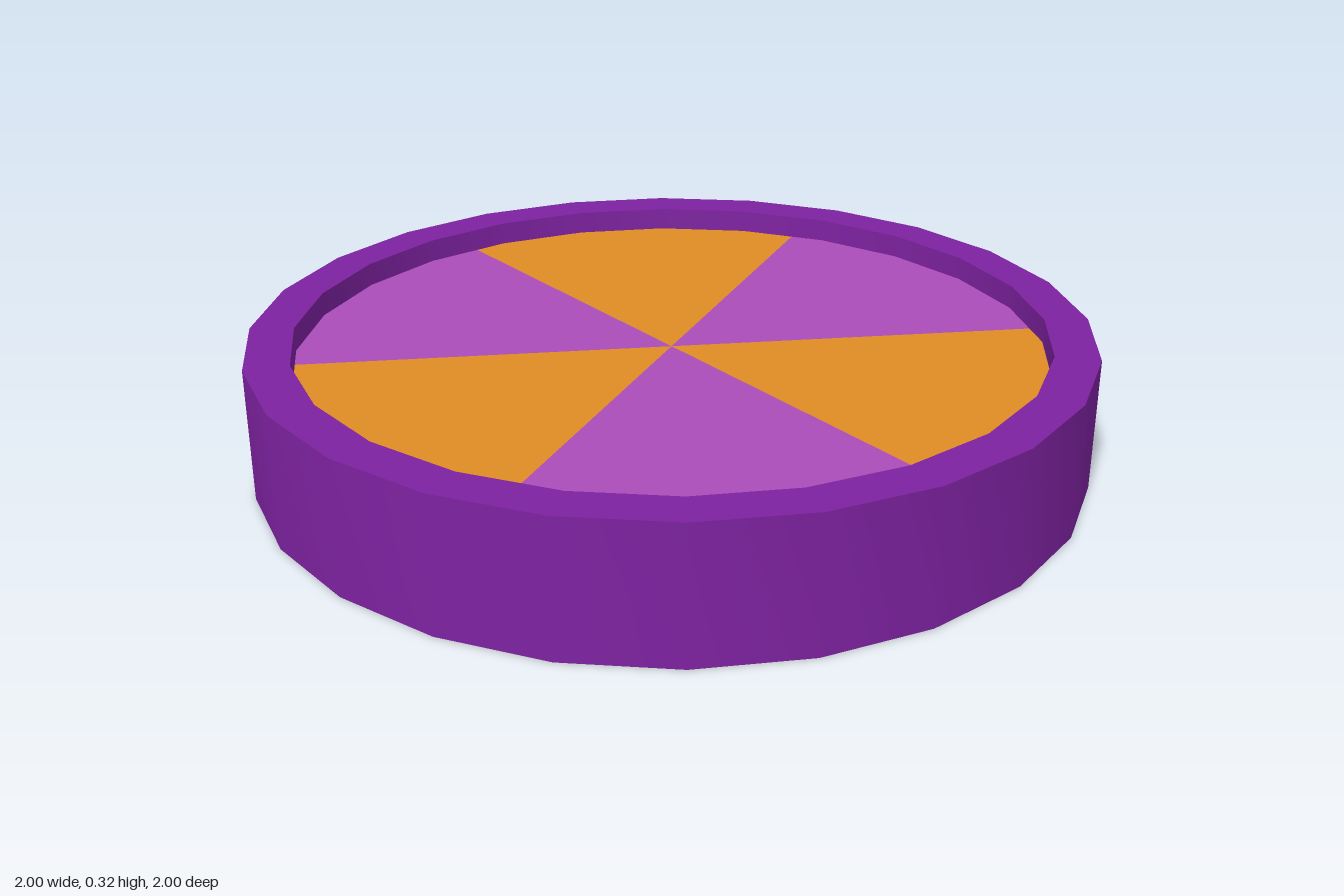
import * as THREE from 'three';
import { toCreasedNormals } from 'three/addons/utils/BufferGeometryUtils.js';

const SIDES = 24, OUTER = 1, INNER = 0.895, HEIGHT = 0.32;
const DISC_BOTTOM = 0.132, DISC_TOP = 0.262;
const STEP = (Math.PI * 2) / SIDES;

const mat = (name, color) => {
  const m = new THREE.MeshStandardMaterial({ color });
  m.name = name;
  return m;
};

// Point at angle a on the many-sided inner edge of the rim
function edgePoint(a) {
  const local = a - Math.floor(a / STEP) * STEP - STEP / 2;
  const r = (INNER * Math.cos(STEP / 2)) / Math.cos(local);
  return new THREE.Vector2(r * Math.cos(a), r * Math.sin(a));
}

// Pie slice from angle a to b, following the rim corners between them
function wedgeGeometry(a, b) {
  const pts = [new THREE.Vector2(0, 0), edgePoint(a)];
  for (let k = Math.ceil(a / STEP); k * STEP < b; k++) {
    pts.push(new THREE.Vector2(INNER * Math.cos(k * STEP), INNER * Math.sin(k * STEP)));
  }
  pts.push(edgePoint(b));
  const geo = new THREE.ExtrudeGeometry(new THREE.Shape(pts), {
    depth: DISC_TOP - DISC_BOTTOM, bevelEnabled: false,
  });
  return geo.rotateX(-Math.PI / 2).translate(0, DISC_BOTTOM, 0);
}

export function createModel() {
  const model = new THREE.Group();
  model.name = 'segmentedDisc';
  const rimPurple = mat('rim purple', 0x7e22a1);
  const orange = mat('orange', 0xe08c24);
  const lightPurple = mat('light purple', 0xab4db9);

  // Raised rim: rectangular section turned around the axis
  const section = [
    [INNER, 0], [OUTER, 0], [OUTER, HEIGHT], [INNER, HEIGHT], [INNER, 0],
  ].map(([x, y]) => new THREE.Vector2(x, y));
  const rim = new THREE.Mesh(
    toCreasedNormals(new THREE.LatheGeometry(section, SIDES), 0.6), rimPurple);
  rim.name = 'rim';
  model.add(rim);

  // Six alternating slices inside the rim
  const start = THREE.MathUtils.degToRad(-24.3);
  for (let i = 0; i < 6; i++) {
    const a = start + (i * Math.PI) / 3;
    const wedge = new THREE.Mesh(
      wedgeGeometry(a, a + Math.PI / 3), i % 2 ? lightPurple : orange);
    wedge.name = `slice${i + 1}`;
    model.add(wedge);
  }
  return model;
}
